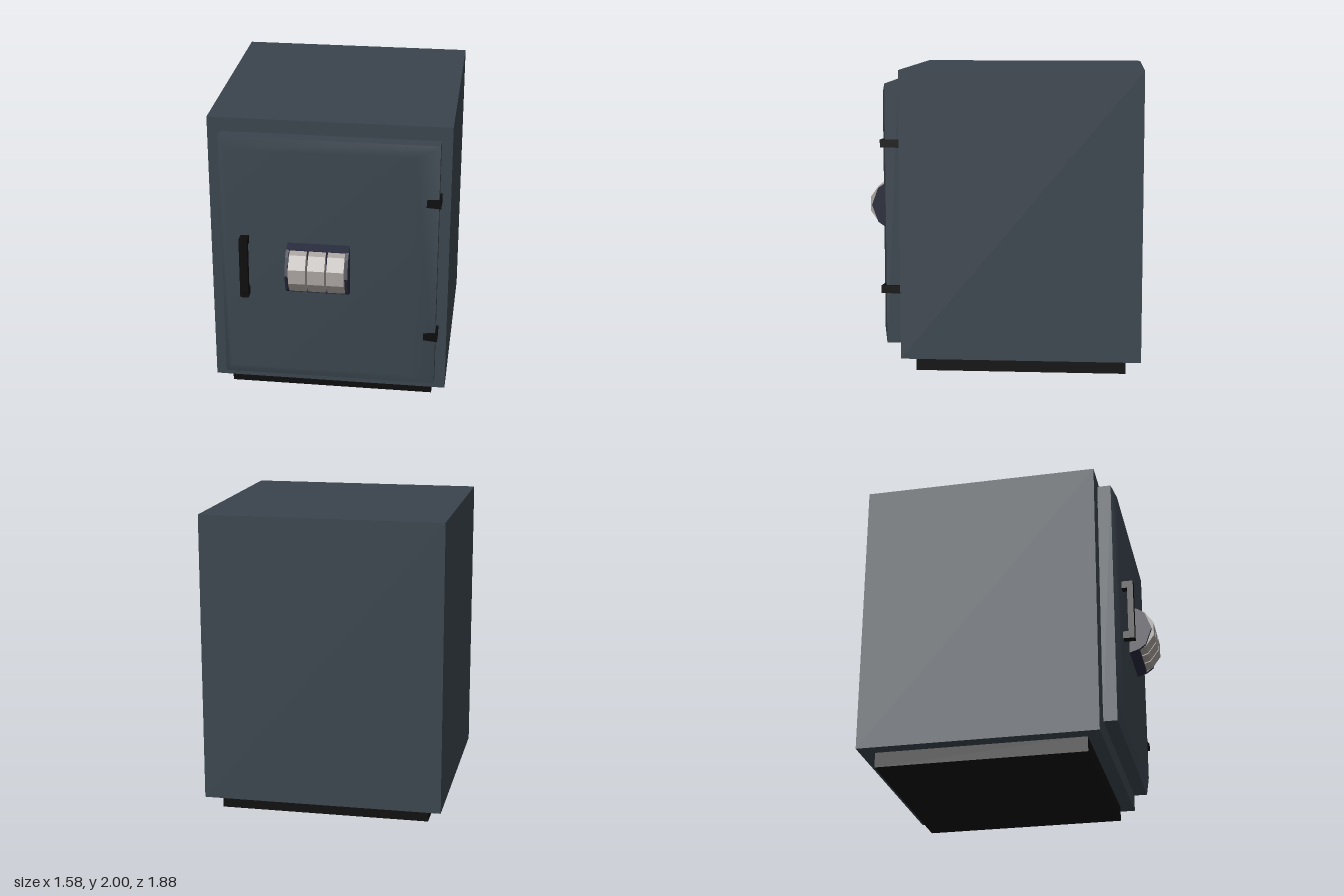
import * as THREE from 'three';

const mat = (color) => new THREE.MeshStandardMaterial({ color });
const steel = mat(0x3a444d), black = mat(0x0c0c0c), navy = mat(0x25283a), silver = mat(0xa8a29e);

export function createModel() {
  const group = new THREE.Group();

  const add = (name, geometry, material) => {
    const mesh = new THREE.Mesh(geometry, material);
    mesh.name = name;
    group.add(mesh);
    return mesh;
  };
  const box = (name, material, [x0, x1], [y0, y1], [z0, z1]) =>
    add(name, new THREE.BoxGeometry(x1 - x0, y1 - y0, z1 - z0), material)
      .position.set((x0 + x1) / 2, (y0 + y1) / 2, (z0 + z1) / 2);
  const extrude = (points, depth) => new THREE.ExtrudeGeometry(
    new THREE.Shape(points.map(([a, b]) => new THREE.Vector2(a, b))), { depth, bevelEnabled: false });
  // Extrudes a [z, y] outline sideways from x0 to x1
  const sideProfile = (name, material, points, x0, x1) =>
    add(name, extrude(points, x1 - x0).rotateY(-Math.PI / 2).translate(x1, 0, 0), material);

  // Cabinet and recessed plinth
  box('cabinet', steel, [-0.79, 0.79], [0.1, 2], [-0.94, 0.64]);
  box('plinth', black, [-0.695, 0.695], [0, 0.1], [-0.84, 0.55]);

  // Door: slab, with a bevelled front shaded smoothly
  box('doorSeal', steel, [-0.64, 0.66], [0.28, 1.82], [0.63, 0.66]);
  box('doorSlab', steel, [-0.7, 0.72], [0.19, 1.91], [0.65, 0.74]);
  const rect = (x0, x1, y0, y1, z) => [x0, y0, z, x1, y0, z, x1, y1, z, x0, y1, z];
  const front = new THREE.BufferGeometry();
  front.setAttribute('position', new THREE.Float32BufferAttribute(
    [...rect(-0.7, 0.72, 0.19, 1.91, 0.74), ...rect(-0.65, 0.57, 0.26, 1.84, 0.775)], 3));
  const index = [4, 5, 6, 4, 6, 7];
  for (let i = 0; i < 4; i++) {
    const j = (i + 1) % 4;
    index.push(i, j, j + 4, i, j + 4, i + 4);
  }
  front.setIndex(index);
  front.computeVertexNormals();
  add('doorFront', front, steel);

  // Hinges wrapping the door's edge, outline in [x, z]
  const hinge = [[0.64, 0.745], [0.715, 0.735], [0.715, 0.64], [0.735, 0.64], [0.735, 0.772], [0.64, 0.758]];
  for (const [name, top] of [['upperHinge', 1.547], ['lowerHinge', 0.581]]) {
    add(name, extrude(hinge, 0.053).rotateX(Math.PI / 2).translate(0, top, 0), black);
  }

  // Pull handle, a bracket standing off the door
  sideProfile('handle', black, [[0.765, 0.82], [0.85, 0.82], [0.85, 1.24], [0.765, 1.24],
    [0.765, 1.19], [0.81, 1.19], [0.81, 0.87], [0.765, 0.87]], -0.565, -0.51);

  // Lock housing: back part and two cheeks
  const mid = 1.032;
  const mirrored = (upper) => [...upper.map(([z, h]) => [z, mid - h]),
    ...upper.slice().reverse().map(([z, h]) => [z, mid + h])];
  sideProfile('lockHousing', navy, mirrored([[0.77, 0.173], [0.84, 0.151]]), -0.24, 0.14);
  const cheek = [...mirrored([[0.77, 0.173], [0.84, 0.151], [0.885, 0.118]])];
  cheek.splice(3, 0, [0.928, mid]);
  sideProfile('rightCheek', navy, cheek, -0.255, -0.235);
  sideProfile('leftCheek', navy, cheek, 0.135, 0.155);

  // Three ten-sided number wheels
  const wheel = Array.from({ length: 10 }, (_, i) => {
    const a = (i - 0.5) * Math.PI / 5;
    return [0.79 + 0.158 * Math.cos(a), 1.037 + 0.158 * Math.sin(a)];
  });
  for (let i = 0; i < 3; i++) {
    const x = -0.23 + i * 0.125;
    sideProfile('numberWheel' + (i + 1), silver, wheel, x, x + 0.112);
  }

  return group;
}
